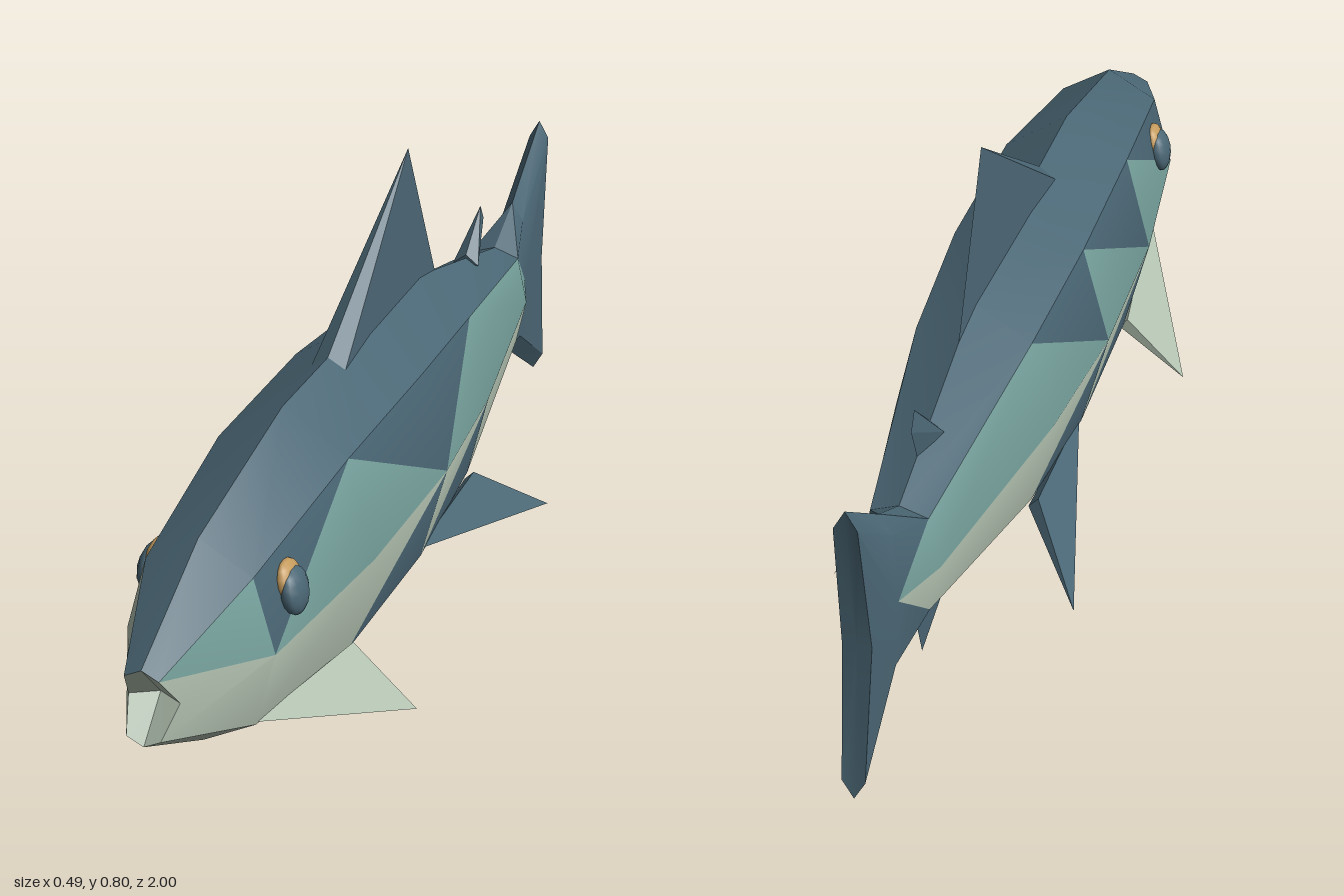
import * as THREE from 'three';
import { toCreasedNormals } from 'three/addons/utils/BufferGeometryUtils.js';
import { ConvexGeometry } from 'three/addons/geometries/ConvexGeometry.js';

const material = (name, color) => new THREE.MeshStandardMaterial({ name, color });

// Half rings, nose to tail: five [x, y, z] points each (top, shoulder, flank, belly side, keel)
const ring = (z, top, shoulder, flank, belly, keel, zMid = z) => [
  [0, top, z], [...shoulder, z], [...flank, zMid], [...belly, z], [0, keel, z],
];
const RINGS = [
  ring(1.0, 0.36, [0.03, 0.345], [0.045, 0.285], [0.03, 0.235], 0.22, 0.955),
  ring(0.77, 0.48, [0.095, 0.425], [0.132, 0.29], [0.095, 0.15], 0.1),
  ring(0.41, 0.553, [0.12, 0.475], [0.168, 0.29], [0.12, 0.105], 0.03),
  ring(0.05, 0.553, [0.122, 0.475], [0.172, 0.29], [0.122, 0.105], 0.03),
  ring(-0.26, 0.523, [0.105, 0.455], [0.145, 0.29], [0.105, 0.127], 0.06),
  ring(-0.72, 0.4, [0.05, 0.383], [0.07, 0.29], [0.05, 0.2], 0.178),
  ring(-0.83, 0.457, [0.023, 0.42], [0.03, 0.29], [0.023, 0.16], 0.122),
  ring(-1.0, 0.575, [0.02, 0.54], [0.025, 0.29], [0.02, 0.045], 0.01, -0.96),
];

// Each cell: diagonal, colour of lower triangle, colour of upper triangle
// (d = dark back, t = teal flank, p = pale belly); one row per band, top to keel
const LEFT = [
  ['/dd', '/dd', '/dd', '/dd', '/dd', '/dd', '/dd'],
  ['\\pt', '/td', '\\td', '/td', '\\tt', '\\td', '/dd'],
  ['/pp', '/pp', '/dp', '/dp', '/pp', '/dp', '/dd'],
  ['/pp', '/pp', '/dd', '/dd', '/dd', '/dd', '/dd'],
];
const RIGHT = [
  LEFT[0],
  ['/pt', '/td', '/td', '/td', '\\tt', '\\td', '/dd'],
  ['/pp', '/pp', '\\dp', '\\dp', '/pp', '/dp', '/dd'],
  LEFT[3],
];

function bodyGeometry() {
  const faces = { d: [], t: [], p: [] };
  const flip = ([x, y, z]) => [-x, y, z];
  const add = (key, pts, mirrored) => {
    const p = mirrored ? pts.map(flip).reverse() : pts;
    faces[key].push(...p.flat());
  };
  [LEFT, RIGHT].forEach((cells, side) => {
    const m = side === 1;
    cells.forEach((row, j) => row.forEach((cell, i) => {
      const a = RINGS[i][j], b = RINGS[i + 1][j];
      const c = RINGS[i + 1][j + 1], d = RINGS[i][j + 1];
      const [lower, upper] = cell[0] === '/' ? [[b, d, c], [a, d, b]] : [[a, d, c], [a, c, b]];
      add(cell[1], lower, m);
      add(cell[2], upper, m);
    }));
    // hollow mouth and rear edge of the tail
    for (let j = 0; j < 4; j++) {
      const nose = RINGS[0], tail = RINGS[7];
      add('p', [[0, 0.285, 0.93], nose[j + 1], nose[j]], m);
      add('d', [[0, 0.29, -0.96], tail[j], tail[j + 1]], m);
    }
  });
  let geo = new THREE.BufferGeometry();
  const all = [...faces.d, ...faces.t, ...faces.p];
  geo.setAttribute('position', new THREE.Float32BufferAttribute(all, 3));
  geo = toCreasedNormals(geo, 0.55);
  let start = 0;
  ['d', 't', 'p'].forEach((k, n) => {
    const count = faces[k].length / 3;
    geo.addGroup(start, count, n);
    start += count;
  });
  return geo;
}

export function createModel() {
  const group = new THREE.Group();
  const dark = material('slate back', 0x4a6674);
  const teal = material('teal flank', 0x78a39e);
  const pale = material('pale belly', 0xb0bfae);
  const tan = material('tan eye rim', 0xc49a5c);

  const add = (name, geo, mat) => {
    const mesh = new THREE.Mesh(geo, mat);
    mesh.name = name;
    group.add(mesh);
    return mesh;
  };
  const fin = (name, pts, mat) =>
    add(name, new ConvexGeometry(pts.map((p) => new THREE.Vector3(...p))), mat);

  add('body', bodyGeometry(), [dark, teal, pale]);

  // Fins on the centre line, widest at their front edge
  fin('dorsalFin', [[0, 0.553, 0.2], [0.032, 0.53, 0.2], [-0.032, 0.53, 0.2],
    [0, 0.8, -0.205], [0, 0.47, -0.37]], dark);
  fin('adiposeFin', [[0.026, 0.435, -0.54], [-0.026, 0.435, -0.54], [0, 0.455, -0.54],
    [0, 0.527, -0.625], [0, 0.495, -0.645], [0, 0.42, -0.61]], dark);
  fin('analFin', [[0.026, 0.14, -0.49], [-0.026, 0.14, -0.49], [0, 0.115, -0.49],
    [0, 0.02, -0.605], [0, 0.125, -0.645]], dark);

  // Paired fins and eyes
  for (const s of [1, -1]) {
    const side = s > 0 ? 'left' : 'right';
    fin(side + 'PectoralFin', [[s * 0.094, 0.155, 0.77], [s * 0.128, 0.118, 0.41],
      [s * 0.112, 0.1, 0.41], [s * 0.245, 0.005, 0.405]], pale);
    fin(side + 'PelvicFin', [[s * 0.118, 0.118, 0.05], [s * 0.118, 0.13, -0.26],
      [s * 0.1, 0.112, -0.26], [s * 0.222, 0.008, -0.41]], dark);

    const eye = add(side + 'Eye', new THREE.SphereGeometry(1, 12, 8), dark);
    eye.scale.set(0.019, 0.042, 0.042);
    eye.position.set(s * 0.129, 0.362, 0.677);
    eye.rotation.z = s * 0.2;
    const rim = add(side + 'EyeRim', new THREE.SphereGeometry(1, 12, 8), tan);
    rim.scale.set(0.016, 0.037, 0.038);
    rim.position.set(s * 0.119, 0.379, 0.677);
    rim.rotation.z = s * 0.25;
  }
  return group;
}
